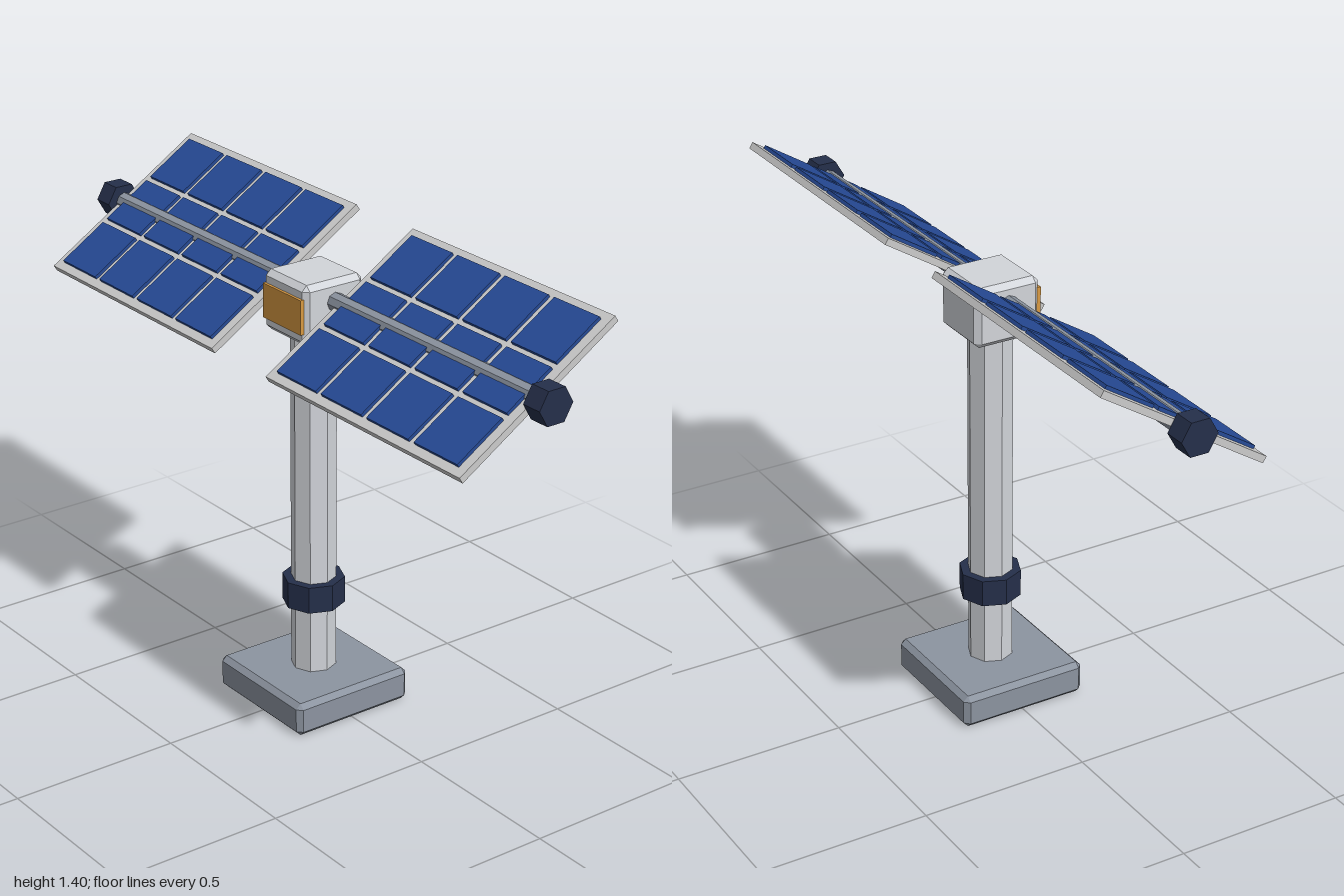
import * as THREE from 'three';
import { ConvexGeometry } from 'three/addons/geometries/ConvexGeometry.js';

const paint = (color) => new THREE.MeshStandardMaterial({ color, flatShading: true });

// Box with a flat chamfer on every edge
function chamferBox(w, h, d, c) {
  const points = [];
  for (const sx of [-1, 1]) for (const sy of [-1, 1]) for (const sz of [-1, 1]) {
    const x = w / 2, y = h / 2, z = d / 2;
    points.push(
      new THREE.Vector3(sx * x, sy * (y - c), sz * (z - c)),
      new THREE.Vector3(sx * (x - c), sy * y, sz * (z - c)),
      new THREE.Vector3(sx * (x - c), sy * (y - c), sz * z));
  }
  return new ConvexGeometry(points);
}

export function createModel() {
  const model = new THREE.Group();
  model.name = 'solarTracker';
  const shell = paint(0xd2d5da), steel = paint(0x8c94a0), dark = paint(0x252f4a);
  const frameGrey = paint(0xd9dadb), cellBlue = paint(0x264a96), amber = paint(0xd99a42);

  const add = (parent, name, geometry, material, x = 0, y = 0, z = 0) => {
    const mesh = new THREE.Mesh(geometry, material);
    mesh.name = name;
    mesh.position.set(x, y, z);
    parent.add(mesh);
    return mesh;
  };

  // Foot, octagonal mast and collar
  add(model, 'base', chamferBox(0.39, 0.1, 0.39, 0.015), steel, 0, 0.05, 0);
  add(model, 'mast', new THREE.CylinderGeometry(0.065, 0.065, 1.06, 8), shell, 0, 0.62, 0);
  add(model, 'collar', new THREE.CylinderGeometry(0.09, 0.09, 0.08, 8), dark, 0, 0.34, 0);

  // Head with amber front plate
  add(model, 'head', chamferBox(0.195, 0.175, 0.2, 0.016), shell, 0, 1.2125, 0);
  add(model, 'frontPlate', new THREE.BoxGeometry(0.172, 0.1, 0.02), amber, 0, 1.213, 0.098);

  // Axle with hexagonal end caps
  const axisY = 1.24, tilt = THREE.MathUtils.degToRad(32.2);
  add(model, 'axle', new THREE.CylinderGeometry(0.027, 0.027, 1.9, 8), steel, 0, axisY, 0)
    .rotation.z = Math.PI / 2;

  const frameGeo = new THREE.BoxGeometry(0.812, 0.02, 0.585);
  const cellGeo = new THREE.BoxGeometry(0.172, 0.014, 0.167);
  for (const side of [-1, 1]) {
    const label = side > 0 ? 'left' : 'right';
    add(model, label + 'EndCap', new THREE.CylinderGeometry(0.055, 0.055, 0.062, 6), dark,
      side * 0.969, axisY, 0).rotation.z = Math.PI / 2;

    // Tilted panel: backing frame and a 4 x 3 grid of raised cells
    const panel = new THREE.Group();
    panel.name = label + 'Panel';
    panel.position.set(side * 0.531, axisY, 0);
    panel.rotation.x = tilt;
    model.add(panel);
    add(panel, 'panelFrame', frameGeo, frameGrey);
    for (let col = 0; col < 4; col++) for (let row = 0; row < 3; row++) {
      add(panel, 'solarCell', cellGeo, cellBlue, (col - 1.5) * 0.194, 0.013, (row - 1) * 0.184);
    }
  }
  return model;
}
